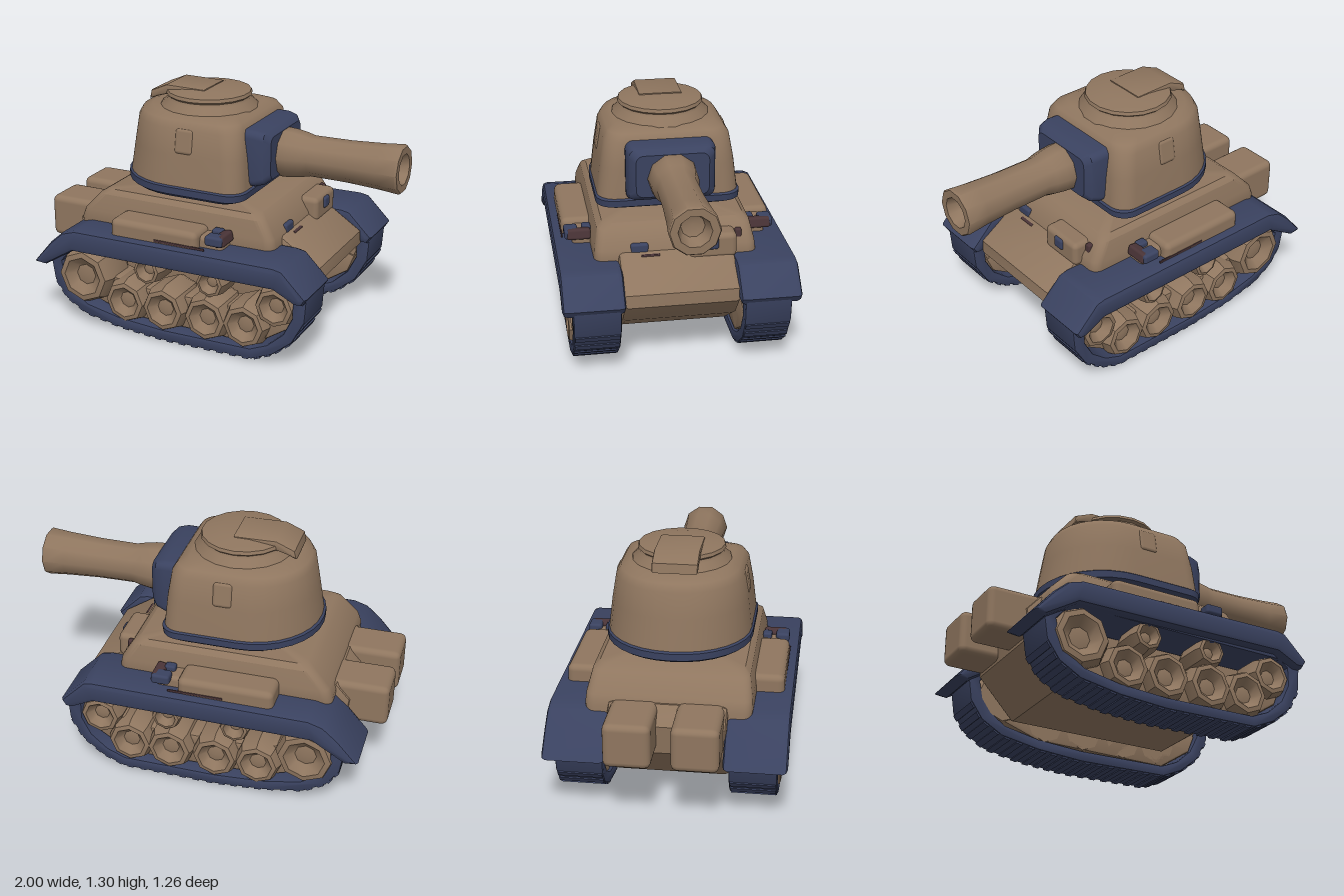
import * as THREE from 'three';
import { toCreasedNormals } from 'three/addons/utils/BufferGeometryUtils.js';
import { RoundedBoxGeometry } from 'three/addons/geometries/RoundedBoxGeometry.js';

const paint = (name, color) => Object.assign(new THREE.MeshStandardMaterial({ color }), { name });

// Rounded rectangle at height y; separate corner radii for front (+x) and rear (-x)
function ring(y, x0, x1, w, rf, rr, n = 5) {
  const pts = [];
  const corners = [[x1 - rf, w - rf, rf, -90], [x1 - rf, -w + rf, rf, 0],
    [x0 + rr, -w + rr, rr, 90], [x0 + rr, w - rr, rr, 180]];
  for (const [cx, cz, r, a0] of corners)
    for (let i = 0; i <= n; i++) {
      const a = (a0 + 90 * i / n) * Math.PI / 180;
      pts.push([cx + r * Math.cos(a), y, cz - r * Math.sin(a)]);
    }
  return pts;
}

// Skin a stack of rings from bottom to top, with end caps
function loft(rings, crease = 0.6) {
  const n = rings[0].length, v = [];
  const centre = r => [0, 1, 2].map(k => r.reduce((s, p) => s + p[k], 0) / n);
  const bottom = rings[0], top = rings[rings.length - 1];
  const cb = centre(bottom), ct = centre(top);
  for (let i = 0; i < n; i++) {
    const j = (i + 1) % n;
    for (let k = 0; k < rings.length - 1; k++) {
      const a = rings[k], b = rings[k + 1];
      v.push(...a[i], ...a[j], ...b[j], ...a[i], ...b[j], ...b[i]);
    }
    v.push(...ct, ...top[i], ...top[j], ...cb, ...bottom[j], ...bottom[i]);
  }
  const g = new THREE.BufferGeometry();
  g.setAttribute('position', new THREE.Float32BufferAttribute(v, 3));
  return toCreasedNormals(g, crease);
}

const vec = pts => pts.map(([x, y]) => new THREE.Vector2(x, y));
const lathe = (pts, sides, crease = 0.7) => toCreasedNormals(new THREE.LatheGeometry(vec(pts), sides), crease);

// Side profile extruded along z and centred on z = 0; bevel stays inside the width
function slab(outline, width, bevel = 0.02, hole) {
  const shape = new THREE.Shape(vec(outline));
  if (hole) shape.holes.push(new THREE.Path(vec(hole)));
  const g = new THREE.ExtrudeGeometry(shape, {
    depth: width - 2 * bevel, bevelThickness: bevel, bevelSize: bevel, bevelOffset: -bevel, bevelSegments: 2 });
  g.translate(0, 0, bevel - width / 2);
  return toCreasedNormals(g, 0.6);
}

export function createModel() {
  const tan = paint('tan armour', 0x8f765f);
  const blue = paint('dark blue', 0x3a4260);
  const maroon = paint('maroon fitting', 0x4a3437);
  const model = new THREE.Group();
  model.name = 'tank';

  const add = (name, geometry, material, x = 0, y = 0, z = 0) => {
    const m = new THREE.Mesh(geometry, material);
    m.name = name;
    m.position.set(x, y, z);
    model.add(m);
    return m;
  };
  const box = (name, mat, sx, sy, sz, x, y, z, r = 0.02) =>
    add(name, new RoundedBoxGeometry(sx, sy, sz, 2, r), mat, x, y, z);

  // Hull
  add('lowerHull', slab([[-0.58, 0.145], [0.36, 0.145], [0.56, 0.28], [0.67, 0.41], [0.665, 0.48],
    [0.43, 0.635], [-0.72, 0.61], [-0.8, 0.52], [-0.78, 0.36]], 0.62, 0.025), tan);
  add('upperHull', loft([
    ring(0.46, -0.72, 0.44, 0.41, 0.04, 0.04),
    ring(0.58, -0.72, 0.455, 0.435, 0.05, 0.05),
    ring(0.635, -0.7, 0.445, 0.43, 0.05, 0.05),
    ring(0.73, -0.61, 0.385, 0.41, 0.05, 0.05),
    ring(0.755, -0.57, 0.35, 0.38, 0.05, 0.05)]), tan);

  // Front hull fittings
  box('gunnerHousing', tan, 0.17, 0.14, 0.26, 0.41, 0.645, -0.19, 0.03);
  box('gunnerPort', blue, 0.05, 0.065, 0.07, 0.482, 0.665, -0.185, 0.015);
  box('visionSlit', blue, 0.05, 0.055, 0.095, 0.425, 0.638, 0.195, 0.012);
  box('slitSill', maroon, 0.04, 0.014, 0.1, 0.455, 0.607, 0.14, 0.005);
  box('frontHook', maroon, 0.035, 0.065, 0.035, 0.41, 0.675, -0.338, 0.01);

  // Track outline and its inner opening
  const outer = [[-0.83, 0.37], [-0.81, 0.24], [-0.74, 0.14], [-0.62, 0.07], [-0.4, 0.03], [-0.13, 0.01],
    [0.4, 0.018], [0.52, 0.07], [0.63, 0.16], [0.7, 0.29], [0.71, 0.42], [0.62, 0.5], [-0.72, 0.5]];
  const inner = [[-0.76, 0.36], [-0.74, 0.26], [-0.69, 0.19], [-0.6, 0.13], [-0.4, 0.09], [-0.13, 0.072],
    [0.39, 0.078], [0.49, 0.12], [0.58, 0.2], [0.63, 0.3], [0.63, 0.4], [0.58, 0.44], [-0.68, 0.45]];
  const trackGeo = slab(outer, 0.25, 0.012, inner);
  const fenderGeo = slab([[-0.91, 0.35], [-0.84, 0.34], [-0.66, 0.45], [0.54, 0.46], [0.66, 0.4], [0.7, 0.4],
    [0.725, 0.44], [0.59, 0.575], [0.54, 0.585], [-0.64, 0.575], [-0.72, 0.55], [-0.8, 0.48]], 0.33, 0.026);
  // Suspension web filling the gaps between the wheels
  const webGeo = slab([[-0.72, 0.26], [-0.68, 0.18], [-0.4, 0.085], [0.39, 0.075], [0.58, 0.2],
    [0.62, 0.3], [0.5, 0.34], [0.3, 0.27], [-0.35, 0.27], [-0.6, 0.34]], 0.18, 0.015);

  // Dished wheel with a raised rim, axis along y
  const wheelGeo = (r, w) => lathe([[0, -w], [r * 0.85, -w], [r, -w + 0.04], [r, w - 0.05],
    [r * 0.87, w - 0.005], [r * 0.68, w], [r * 0.36, w - 0.045], [0, w - 0.035]], 8);
  const wheels = [['rearWheel', -0.62, 0.295, 0.165, 0.13], ['roadWheel', -0.36, 0.193, 0.128, 0.125],
    ['roadWheel', -0.125, 0.193, 0.132, 0.125], ['roadWheel', 0.13, 0.193, 0.132, 0.125],
    ['roadWheel', 0.355, 0.198, 0.13, 0.125], ['frontWheel', 0.525, 0.335, 0.118, 0.115],
    ['returnRoller', -0.23, 0.395, 0.085, 0.11], ['returnRoller', 0.15, 0.395, 0.085, 0.11]];

  for (const s of [1, -1]) {
    add('track', trackGeo, blue, 0, 0, s * 0.45);
    add('fender', fenderGeo, blue, 0, 0, s * 0.465);
    add('suspensionWeb', webGeo, tan, 0, 0, s * 0.425);

    // Low cleats along the underside of the track
    for (let k = 1; k < 9; k++) {
      const [a, b] = [outer[k], outer[k + 1]];
      const dx = b[0] - a[0], dy = b[1] - a[1];
      const count = Math.max(1, Math.round(Math.hypot(dx, dy) / 0.075));
      for (let i = 0; i < count; i++) {
        const t = (i + 0.5) / count;
        const cleat = add('trackCleat', new THREE.BoxGeometry(0.035, 0.014, 0.235), blue,
          a[0] + dx * t, a[1] + dy * t, s * 0.45);
        cleat.rotation.z = Math.atan2(dy, dx);
      }
    }

    for (const [name, x, y, r, w] of wheels)
      add(name, wheelGeo(r, w), tan, x, y, s * 0.46).rotation.x = s * Math.PI / 2;

    // Stowage on the fenders and at the rear
    box('sideStowage', tan, 0.52, 0.13, 0.18, -0.18, 0.603, s * 0.49, 0.035);
    box('sideStep', tan, 0.16, 0.1, 0.12, 0.13, 0.59, s * 0.47, 0.025);
    box('stowageTrim', maroon, 0.3, 0.014, 0.008, -0.02, 0.59, s * 0.579, 0.003);
    box('towFitting', maroon, 0.06, 0.06, 0.13, 0.2, 0.635, s * 0.495, 0.015).rotation.z = 0.2;
    box('towPin', blue, 0.1, 0.055, 0.075, 0.175, 0.638, s * 0.535, 0.015);
    box('towLatch', blue, 0.06, 0.045, 0.05, 0.15, 0.645, s * 0.45, 0.012);
    box('rearBox', tan, 0.34, 0.24, 0.245, -0.83, 0.495, s * 0.172, 0.035);

    // Raised viewing plate on the turret side
    box('turretSidePlate', tan, 0.11, 0.14, 0.06, -0.105, 1.075, s * 0.328, 0.02).rotation.x = -s * 0.17;
  }

  // Turret
  add('turretRing', new THREE.CylinderGeometry(0.31, 0.33, 0.08, 24), tan, -0.17, 0.77, 0);
  add('turretBand', loft([
    ring(0.772, -0.55, 0.2, 0.37, 0.1, 0.36, 8),
    ring(0.79, -0.58, 0.235, 0.392, 0.1, 0.385, 8),
    ring(0.828, -0.58, 0.24, 0.393, 0.1, 0.385, 8),
    ring(0.838, -0.565, 0.225, 0.38, 0.1, 0.37, 8)]), blue);
  add('turretBody', loft([
    ring(0.82, -0.57, 0.23, 0.385, 0.1, 0.375, 8),
    ring(1.0, -0.54, 0.215, 0.364, 0.1, 0.35, 8),
    ring(1.14, -0.515, 0.195, 0.34, 0.1, 0.32, 8),
    ring(1.18, -0.495, 0.17, 0.315, 0.1, 0.3, 8),
    ring(1.2, -0.44, 0.12, 0.27, 0.1, 0.25, 8)], 0.8), tan);

  // Cupola with a lid that overhangs the rear
  add('cupola', lathe([[0, 1.15], [0.28, 1.17], [0.265, 1.205], [0.228, 1.235], [0.222, 1.25],
    [0.236, 1.262], [0.23, 1.28], [0.13, 1.298], [0, 1.3]], 18), tan, -0.13, 0, 0);
  add('hatchFlap', slab([[-0.44, 1.215], [-0.39, 1.235], [-0.34, 1.25], [-0.1, 1.26], [-0.1, 1.305],
    [-0.33, 1.308], [-0.43, 1.265]], 0.24, 0.012), tan);

  // Gun mantlet with a chamfered face, stacked along the gun axis
  add('mantlet', loft([
    ring(0.14, -0.155, 0.155, 0.235, 0.04, 0.04),
    ring(0.25, -0.155, 0.155, 0.24, 0.04, 0.04),
    ring(0.3, -0.145, 0.14, 0.228, 0.04, 0.04),
    ring(0.33, -0.12, 0.115, 0.195, 0.04, 0.04)]), blue, 0, 0.995, 0).rotation.z = -Math.PI / 2;
  add('gunBarrel', lathe([[0, 0.28], [0.125, 0.28], [0.135, 0.33], [0.132, 0.38], [0.122, 0.44], [0.11, 0.49],
    [0.112, 0.7], [0.122, 0.88], [0.132, 0.99], [0.125, 1.0], [0.085, 1.0], [0.06, 0.93], [0, 0.91]], 10),
    tan, 0, 0.985, 0).rotation.z = -Math.PI / 2;

  return model;
}
